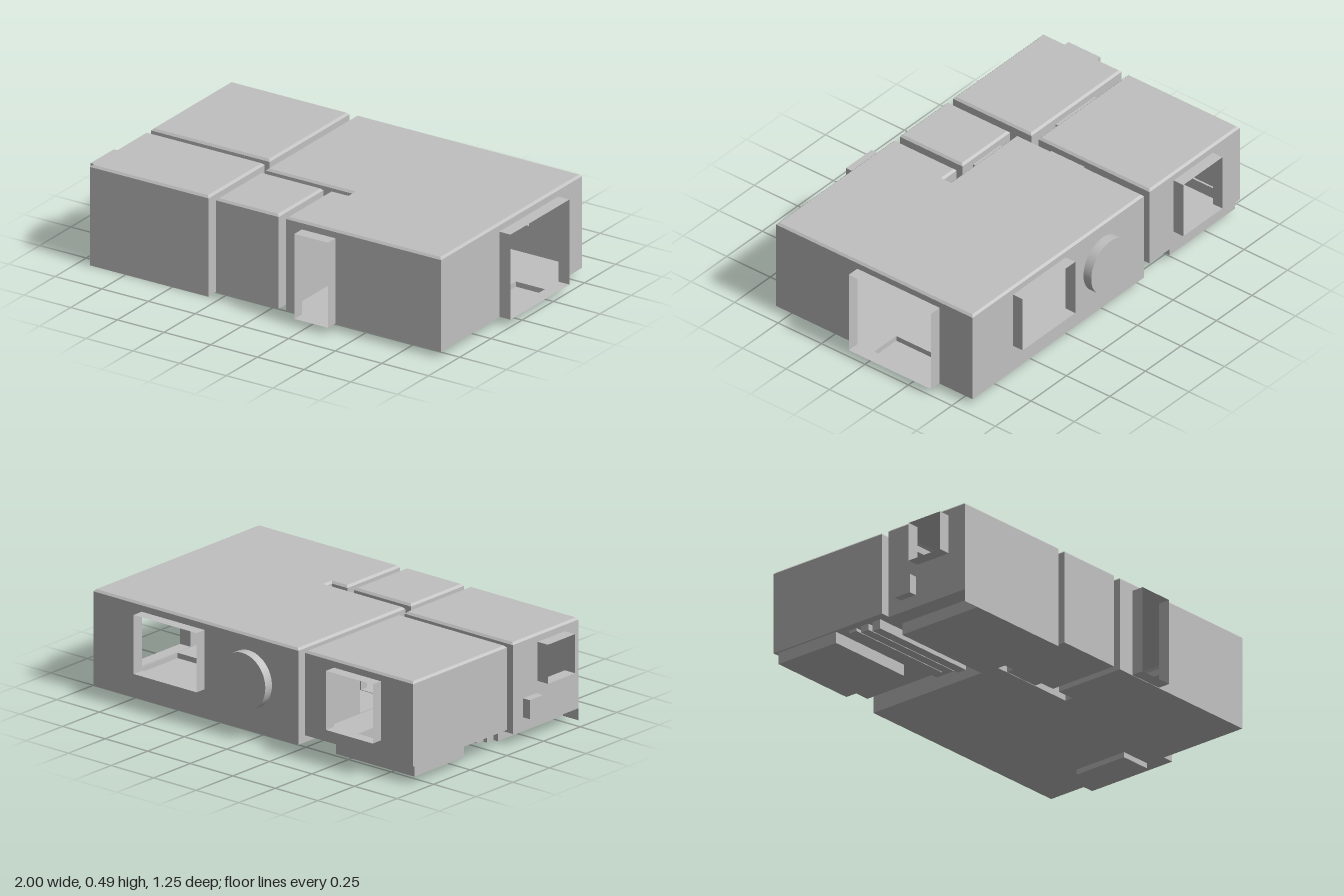
import * as THREE from 'three';

const grey = new THREE.MeshStandardMaterial({ color: 0xc0c0c0, side: THREE.DoubleSide });
grey.name = 'plain grey';

const TOP = 0.49, BEVEL = 0.01;

// Openings: tubes along dir, spanning a (sideways) and y
const openings = [
  { name: 'smallBackWindow', dir: 'z', from: -0.57, to: -0.625, a: [-0.75, -0.475], y: [0.17, 0.45] },
  { name: 'largeBackWindow', dir: 'z', from: -0.57, to: -0.625, a: [0.285, 0.655], y: [0.17, 0.45] },
  { name: 'balconyDoor', dir: 'x', from: 0.94, to: 1.0, a: [-0.38, 0.093], y: [0.037, 0.45] },
  { name: 'frontDoor', dir: 'z', from: 0.56, to: 0.62, a: [0.195, 0.375], y: [0.037, 0.45] },
  { name: 'sideWindow', dir: 'x', from: -0.94, to: -1.0, a: [0.28, 0.465], y: [0.265, 0.45] },
  { name: 'bedroomDoor', dir: 'x', from: -0.265, to: -0.305, a: [-0.195, -0.005], y: [0.094, 0.45] },
  { name: 'linkDoor', dir: 'z', from: 0.07, to: 0.11, a: [-0.75, -0.475], y: [0.094, 0.45] },
  { name: 'closetDoor', dir: 'z', from: 0.16, to: 0.2, a: [-0.195, -0.005], y: [0.037, 0.45] },
];

// Rooms: outline as x,z corners, floor height and sunken trays [x0, x1, z0, z1, depth level]
const rect = (x0, x1, z0, z1) => [[x0, z0], [x1, z0], [x1, z1], [x0, z1]];
const rooms = [
  { name: 'backRoom', floor: 0.09, outline: rect(-0.94, -0.305, -0.57, 0.07),
    trays: [[-0.93, -0.47, -0.55, -0.21, 0.035]] },
  { name: 'frontRoom', floor: 0.06, outline: rect(-0.94, -0.305, 0.11, 0.56),
    trays: [[-0.85, -0.306, 0.112, 0.558, 0.004]] },
  { name: 'closet', floor: 0.035, outline: rect(-0.265, 0.07, 0.2, 0.56), trays: [] },
  { name: 'mainRoom', floor: 0.035,
    outline: [[-0.265, -0.57], [0.94, -0.57], [0.94, 0.56], [0.11, 0.56],
      [0.11, 0.2], [0.2, 0.2], [0.2, 0.16], [-0.265, 0.16]],
    trays: [[0.78, 0.935, -0.28, 0, 0.01]] },
];

function shapeOf(points, holes = []) {
  const toV = (p) => new THREE.Vector2(p[0], p[1]);
  const shape = new THREE.Shape(points.map(toV));
  shape.holes = holes.map((h) => new THREE.Path(h.map(toV)));
  return new THREE.ShapeGeometry(shape);
}

function add(parent, name, geometry) {
  const mesh = new THREE.Mesh(geometry, grey);
  mesh.name = name;
  parent.add(mesh);
  return mesh;
}

// Flat panel standing on the plane dir = pos
function upright(parent, name, dir, pos, points, holes) {
  const g = shapeOf(points, holes);
  if (dir === 'x') g.rotateY(-Math.PI / 2).translate(pos, 0, 0);
  else g.translate(0, 0, pos);
  add(parent, name, g);
}

// Flat panel lying at height y
function level(parent, name, y, points, holes) {
  add(parent, name, shapeOf(points, holes).rotateX(Math.PI / 2).translate(0, y, 0));
}

// Band of quads joining two matching closed loops of 3D points
function band(parent, name, lower, upper) {
  const pos = [];
  lower.forEach((p, i) => {
    const j = (i + 1) % lower.length;
    pos.push(...p, ...upper[i], ...upper[j], ...p, ...upper[j], ...lower[j]);
  });
  const g = new THREE.BufferGeometry();
  g.setAttribute('position', new THREE.Float32BufferAttribute(pos, 3));
  g.computeVertexNormals();
  add(parent, name, g);
}

function buildRoom({ name, outline, floor, trays }) {
  const room = new THREE.Group();
  room.name = name;
  const n = outline.length;

  // Walls, cut wherever an opening meets them
  outline.forEach((p, i) => {
    const q = outline[(i + 1) % n];
    const dir = p[0] === q[0] ? 'x' : 'z';
    const pos = dir === 'x' ? p[0] : p[1];
    const k = dir === 'x' ? 1 : 0;
    const u0 = Math.min(p[k], q[k]), u1 = Math.max(p[k], q[k]);
    const holes = openings
      .filter((o) => o.dir === dir && (o.from === pos || o.to === pos) && o.a[0] > u0 && o.a[1] < u1)
      .map((o) => rect(...o.a, ...o.y));
    upright(room, 'wall', dir, pos, rect(u0, u1, floor, TOP - BEVEL), holes);
  });

  // Roof with a narrow chamfered edge
  const inward = (a, b) => [-Math.sign(b[1] - a[1]), Math.sign(b[0] - a[0])];
  const inset = outline.map((p, i) => {
    const m = inward(outline[(i + n - 1) % n], p), k = inward(p, outline[(i + 1) % n]);
    return [p[0] + (m[0] + k[0]) * BEVEL, p[1] + (m[1] + k[1]) * BEVEL];
  });
  band(room, 'roofEdge', outline.map((p) => [p[0], TOP - BEVEL, p[1]]), inset.map((p) => [p[0], TOP, p[1]]));
  level(room, 'roof', TOP, inset);

  // Floor and its sunken trays
  const trayRects = trays.map((t) => rect(...t.slice(0, 4)));
  level(room, 'floor', floor, outline, trayRects);
  trays.forEach((t, i) => {
    const ring = (y) => trayRects[i].map((p) => [p[0], y, p[1]]);
    band(room, 'traySides', ring(t[4]), ring(floor));
    level(room, 'trayBottom', t[4], trayRects[i]);
  });
  return room;
}

// Solid block from its bounds
function block(parent, name, x0, x1, y0, y1, z0, z1) {
  const g = new THREE.BoxGeometry(x1 - x0, y1 - y0, z1 - z0);
  add(parent, name, g.translate((x0 + x1) / 2, (y0 + y1) / 2, (z0 + z1) / 2));
}

export function createModel() {
  const model = new THREE.Group();
  model.name = 'apartment';
  rooms.forEach((r) => model.add(buildRoom(r)));

  // Window and door frames, open at both ends
  openings.forEach((o) => {
    const ring = (d) => rect(...o.a, ...o.y).map(([u, y]) => (o.dir === 'x' ? [d, y, u] : [u, y, d]));
    band(model, o.name, ring(o.from), ring(o.to));
  });

  // Round port on the back wall
  const port = new THREE.CylinderGeometry(0.135, 0.135, 0.045, 48).rotateX(Math.PI / 2);
  add(model, 'roundPort', port.translate(0.025, 0.28, -0.5925));

  // Steps hanging under the back room floor
  for (let i = 0; i < 3; i++) {
    const z = -0.16 + i * 0.07;
    block(model, 'step', -0.9, -0.32, 0.075 - i * 0.015, 0.09, z, z + 0.045);
  }

  // Skirt of the front room's front wall
  upright(model, 'skirt', 'z', 0.56, rect(-0.94, -0.305, 0.002, 0.06));

  // Small wall boxes
  block(model, 'sideBox', -0.98, -0.94, 0.12, 0.21, 0.18, 0.27);
  block(model, 'closetBox', -0.28, -0.265, 0.17, 0.26, 0.37, 0.46);
  block(model, 'frontRoomBox', -0.305, -0.297, 0.18, 0.23, 0.35, 0.45);
  block(model, 'cornerBox', 0.09, 0.19, 0.265, 0.355, 0.16, 0.19);

  return model;
}
